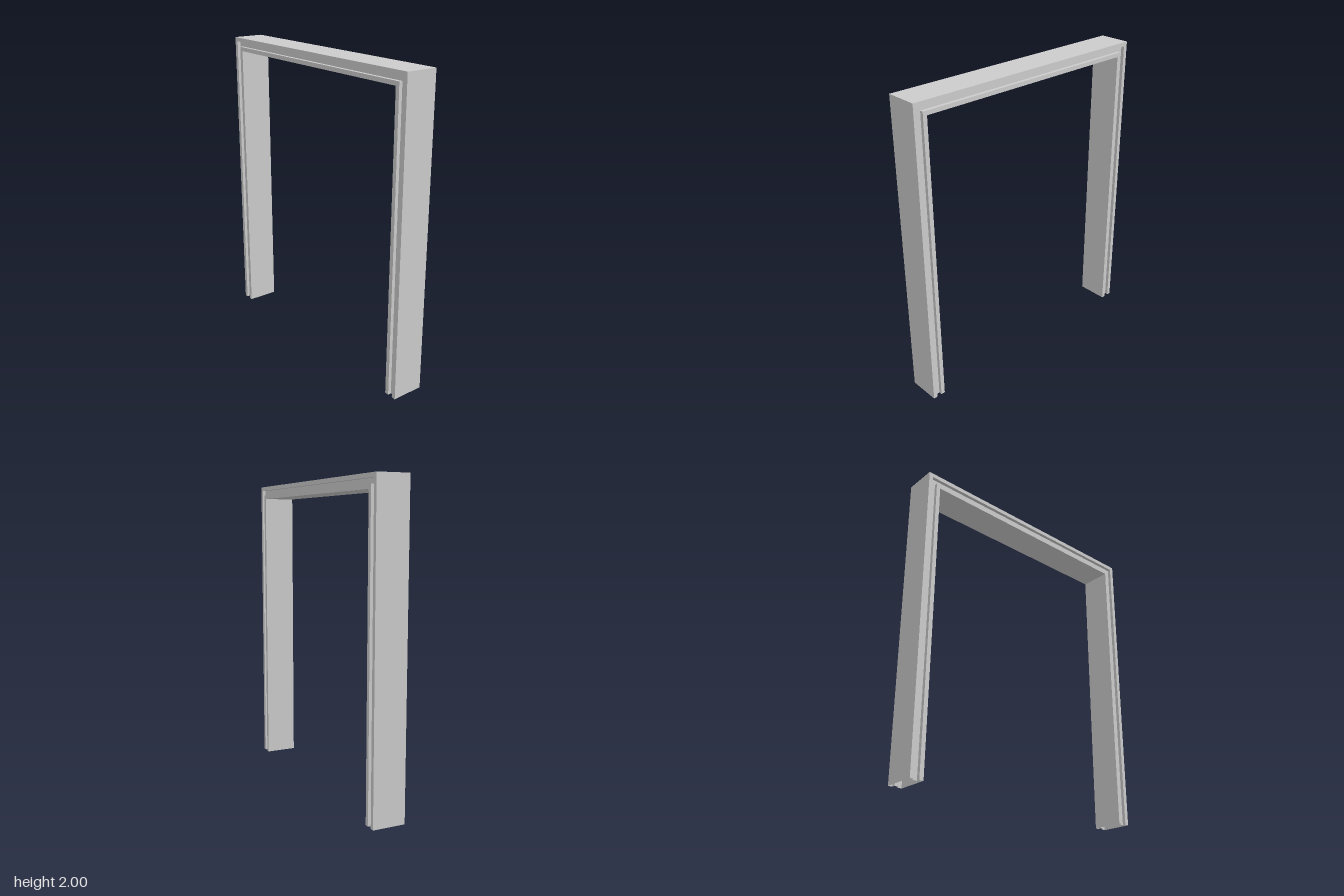
import * as THREE from 'three';

const HALF_WIDTH = 0.867, HEIGHT = 2, HALF_DEPTH = 0.105;
const FACE = 0.087;                 // width of the moulded face
const GROOVE = [0.027, 0.06];       // groove edges, measured inward from the outer edge
const GROOVE_DEPTH = 0.022;

// Front half of the section as [inset from outer edge, z]
function frontProfile() {
  const z = HALF_DEPTH, floor = HALF_DEPTH - GROOVE_DEPTH, [a, b] = GROOVE;
  return [[0, z], [a, z], [a, floor], [b, floor], [b, z], [FACE, z]];
}

// Sweeps the closed section up one jamb, across the head and down the other, with mitred corners
function sweepFrame(section) {
  const stations = [
    (t) => [t - HALF_WIDTH, 0],
    (t) => [t - HALF_WIDTH, HEIGHT - t],
    (t) => [HALF_WIDTH - t, HEIGHT - t],
    (t) => [HALF_WIDTH - t, 0],
  ];
  const point = (s, [t, z]) => [...stations[s](t), z];
  const positions = [];
  for (let s = 0; s < stations.length - 1; s++) {
    section.forEach((p, i) => {
      const q = section[(i + 1) % section.length];
      const a = point(s, p), b = point(s, q), c = point(s + 1, q), d = point(s + 1, p);
      positions.push(...a, ...b, ...c, ...a, ...c, ...d);
    });
  }
  const geometry = new THREE.BufferGeometry();
  geometry.setAttribute('position', new THREE.Float32BufferAttribute(positions, 3));
  geometry.computeVertexNormals();
  return geometry;
}

export function createModel() {
  const group = new THREE.Group();
  group.name = 'doorway';

  // Grooved on front and back; the feet of the jambs are open
  const front = frontProfile();
  const back = front.map(([t, z]) => [t, -z]).reverse();
  const material = new THREE.MeshStandardMaterial({
    color: 0xcccccc, flatShading: true, side: THREE.DoubleSide,
  });
  const frame = new THREE.Mesh(sweepFrame([...front, ...back]), material);
  frame.name = 'doorFrame';
  group.add(frame);
  return group;
}
